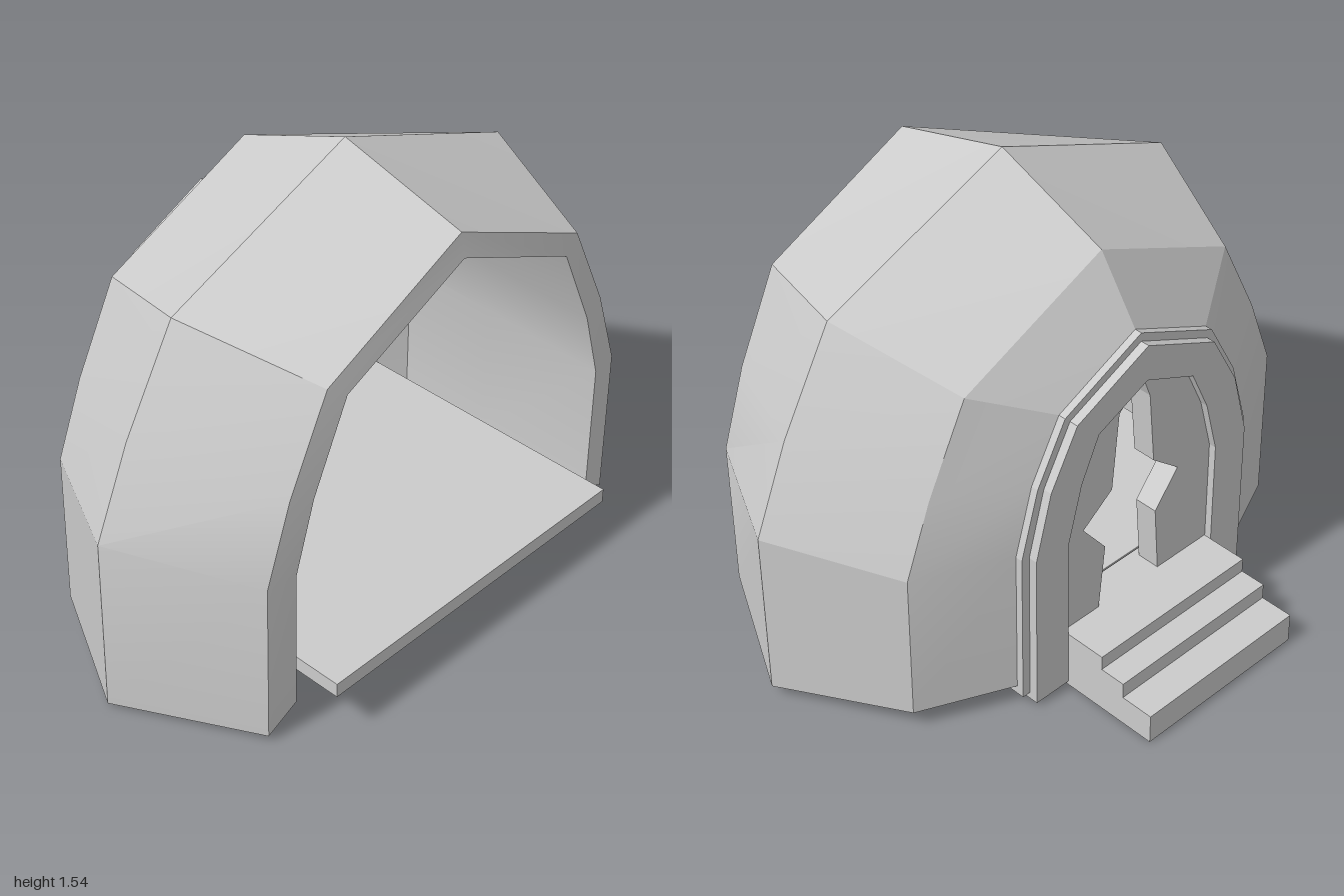
import * as THREE from 'three';
import { toCreasedNormals } from 'three/addons/utils/BufferGeometryUtils.js';

const material = new THREE.MeshStandardMaterial({ color: 0xcccccc, side: THREE.DoubleSide });

// Half arch [x, y] at spring, haunch and shoulder, plus the peak height; mirrored into a full arch
// running from the +x foot over the peak to the -x foot.
function arch(half, peak, footLeft, footRight) {
  return [
    [half[0][0], footLeft], ...half, [0, peak],
    ...half.map(([x, y]) => [-x, y]).reverse(), [-half[0][0], footRight],
  ];
}

const toShape = (points) => new THREE.Shape(points.map(([x, y]) => new THREE.Vector2(x, y)));

function addMesh(parent, name, geometry) {
  const mesh = new THREE.Mesh(geometry, material);
  mesh.name = name;
  parent.add(mesh);
}

// Extrude a flat outline between two z positions
function slab(parent, name, shape, zBack, zFront) {
  const geometry = new THREE.ExtrudeGeometry(shape, { depth: zFront - zBack, bevelEnabled: false });
  geometry.translate(0, 0, zBack);
  addMesh(parent, name, geometry);
}

// Thick vaulted shell: outer arches front to back, then inner arches back to front, closed into a loop
function shellGeometry() {
  const ring = (z, half, peak, footLeft, footRight) =>
    arch(half, peak, footLeft, footRight).map(([x, y]) => new THREE.Vector3(x, y, z));
  const outer = [
    ring(0.635, [[0.77, 0.59], [0.68, 0.86], [0.535, 1.165]], 1.42, 0.065, 0.025),
    ring(0.19, [[1.0, 0.63], [0.875, 0.93], [0.69, 1.26]], 1.54, 0.04, 0.015),
    ring(-0.22, [[0.785, 0.59], [0.69, 0.84], [0.545, 1.13]], 1.375, 0.065, 0.045),
    ring(-0.36, [[0.485, 0.59], [0.42, 0.82], [0.31, 1.02]], 1.165, 0.07, 0.06),
  ];
  // The inner vault runs almost straight back, leaving the wall thickest at mid depth
  const inner = [
    ring(0.65, [[0.67, 0.59], [0.6, 0.83], [0.47, 1.12]], 1.34, 0.135, 0.105),
    ring(0.19, [[0.69, 0.59], [0.615, 0.835], [0.48, 1.12]], 1.34, 0.12, 0.105),
    ring(-0.16, [[0.705, 0.59], [0.625, 0.84], [0.49, 1.12]], 1.34, 0.1, 0.105),
    ring(-0.34, [[0.483, 0.59], [0.418, 0.82], [0.308, 1.02]], 1.163, 0.08, 0.105),
  ];
  const loop = [...outer, ...inner.slice().reverse()];
  const positions = [];
  const quad = (a, b, c, d) => {
    for (const p of [a, b, c, a, c, d]) positions.push(p.x, p.y, p.z);
  };
  const last = outer[0].length - 1;
  loop.forEach((a, i) => {
    const b = loop[(i + 1) % loop.length];
    for (let j = 0; j < last; j++) quad(a[j], b[j], b[j + 1], a[j + 1]);
  });
  // Undersides of the two legs
  for (let i = 0; i < 3; i++) {
    quad(inner[i][0], inner[i + 1][0], outer[i + 1][0], outer[i][0]);
    quad(outer[i][last], outer[i + 1][last], inner[i + 1][last], inner[i][last]);
  }
  const geometry = new THREE.BufferGeometry();
  geometry.setAttribute('position', new THREE.Float32BufferAttribute(positions, 3));
  return toCreasedNormals(geometry, 0.3);
}

export function createModel() {
  const model = new THREE.Group();
  model.name = 'vaultedShelter';

  addMesh(model, 'shell', shellGeometry());

  const floor = new THREE.BoxGeometry(1.23, 0.05, 1.04);
  floor.translate(0, 0.185, 0.24);
  addMesh(model, 'floor', floor);

  // Door frame: an outer band fitted around an inner surround with the arched opening
  const frame = new THREE.Group();
  frame.name = 'doorFrame';
  model.add(frame);
  const band = [[0.485, 0.59], [0.42, 0.82], [0.31, 1.02]];
  const surround = [[0.455, 0.585], [0.395, 0.81], [0.29, 1.0]];
  const opening = [[0.32, 0.58], [0.27, 0.77], [0.2, 0.92]];
  const archBand = (half, peak, innerHalf, innerPeak, foot) =>
    toShape([...arch(half, peak, foot, foot), ...arch(innerHalf, innerPeak, foot, foot).reverse()]);
  slab(frame, 'outerBand', archBand(band, 1.165, surround, 1.135, 0.04), -0.385, -0.28);
  slab(frame, 'innerSurround', archBand(surround, 1.135, opening, 1.01, 0.015), -0.415, -0.3);

  // Broken door panels left standing either side of a jagged gap
  const panels = {
    rightDoorPanel: [[-0.33, 0.2], [-0.1, 0.2], [-0.08, 0.45], [-0.175, 0.57], [-0.065, 0.66],
      [-0.04, 0.92], [0, 1.02], [-0.21, 0.93], [-0.28, 0.77], [-0.33, 0.58]],
    leftDoorPanel: [[0.33, 0.2], [0.33, 0.58], [0.28, 0.77], [0.21, 0.93], [0, 1.02],
      [0.09, 0.92], [0.115, 0.65], [0.235, 0.56], [0.14, 0.44], [0.165, 0.2]],
  };
  for (const [name, outline] of Object.entries(panels)) slab(frame, name, toShape(outline), -0.39, -0.31);

  // Three steps cut from one side profile, drawn as [distance behind centre, height]
  const profile = [[0.285, 0], [0.76, 0], [0.76, 0.105], [0.645, 0.105], [0.645, 0.16],
    [0.555, 0.16], [0.555, 0.21], [0.285, 0.21]];
  const steps = new THREE.ExtrudeGeometry(toShape(profile), { depth: 0.636, bevelEnabled: false });
  steps.translate(0, 0, -0.318);
  steps.rotateY(Math.PI / 2);
  addMesh(model, 'steps', steps);

  return model;
}
